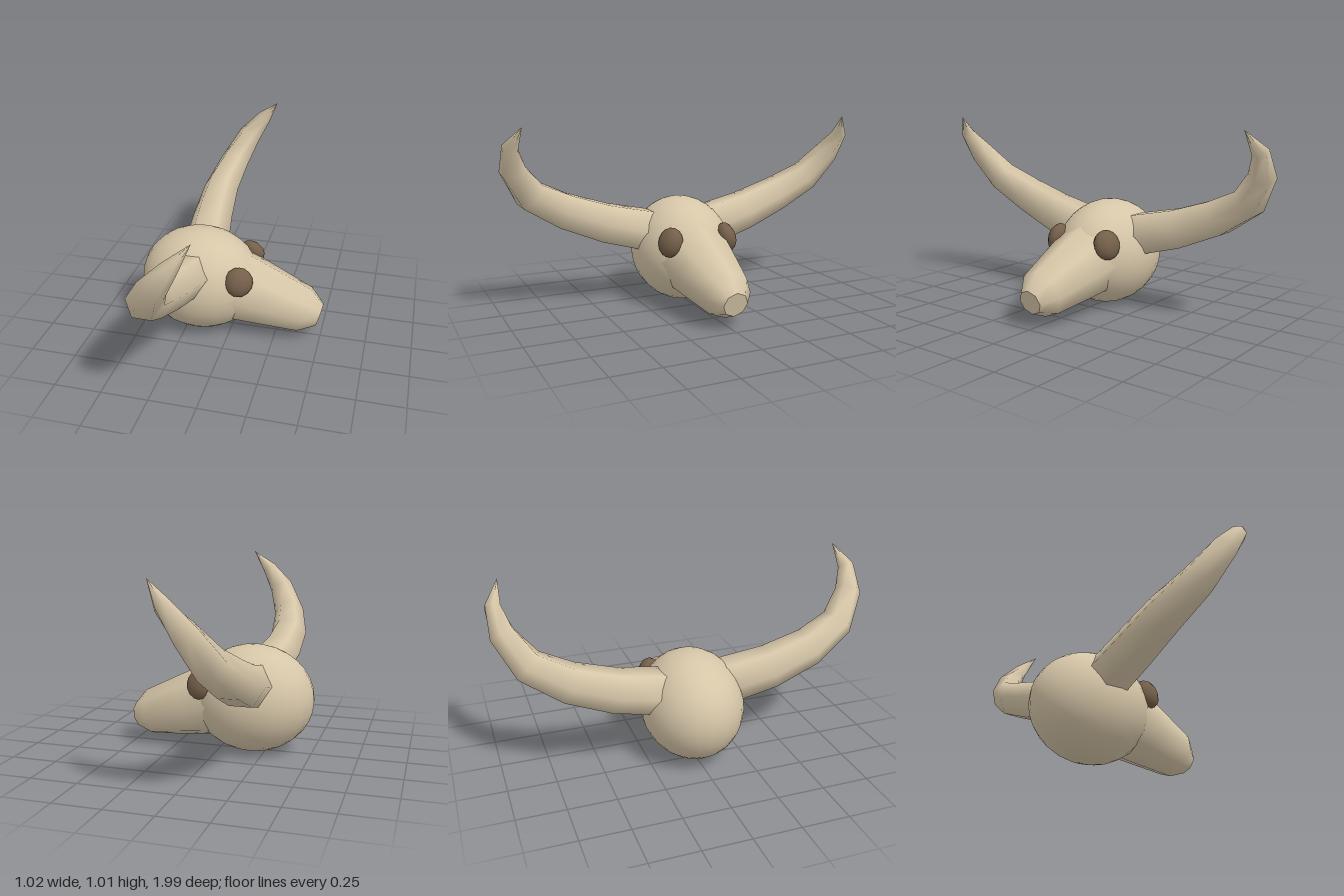
import * as THREE from 'three';

const bone = new THREE.MeshStandardMaterial({ name: 'bone', color: 0xd6c6a8 });
const socketBrown = new THREE.MeshStandardMaterial({ name: 'socketBrown', color: 0x75604a });

// Horn centre line and radius from root to tip: x, y, z, radius
const HORN = [
  [-0.2, 0.39, 0.14, 0.126],
  [-0.205, 0.407, 0.21, 0.125],
  [-0.23, 0.457, 0.425, 0.117],
  [-0.235, 0.54, 0.65, 0.105],
  [-0.197, 0.643, 0.835, 0.089],
  [-0.122, 0.788, 0.935, 0.069],
  [-0.035, 0.905, 0.96, 0.042],
  [0.05, 1.01, 0.917, 0.001],
];

// Six-sided tapering tube along a list of stations; side mirrors it in z
function hornGeometry(side, sides = 6) {
  const centres = HORN.map(([x, y, z]) => new THREE.Vector3(x, y, z * side));
  const positions = [], indices = [];
  centres.forEach((c, i) => {
    const before = centres[Math.max(i - 1, 0)];
    const after = centres[Math.min(i + 1, centres.length - 1)];
    const t = after.clone().sub(before).normalize();
    const u = new THREE.Vector3(1, 0, 0).addScaledVector(t, -t.x).normalize();
    const v = t.clone().cross(u);
    for (let j = 0; j < sides; j++) {
      const a = (j / sides) * Math.PI * 2;
      const p = c.clone()
        .addScaledVector(u, Math.cos(a) * HORN[i][3])
        .addScaledVector(v, Math.sin(a) * HORN[i][3]);
      positions.push(p.x, p.y, p.z);
      if (i === 0) continue;
      const k = (j + 1) % sides, lo = (i - 1) * sides, hi = i * sides;
      indices.push(lo + j, lo + k, hi + k, lo + j, hi + k, hi + j);
    }
  });
  const g = new THREE.BufferGeometry();
  g.setAttribute('position', new THREE.Float32BufferAttribute(positions, 3));
  g.setIndex(indices);
  g.computeVertexNormals();
  return g;
}

export function createModel() {
  const group = new THREE.Group();
  group.name = 'hornedSkull';
  const add = (name, geometry, material) => {
    const mesh = new THREE.Mesh(geometry, material);
    mesh.name = name;
    group.add(mesh);
    return mesh;
  };

  // Egg-shaped braincase
  const cranium = add('cranium', new THREE.SphereGeometry(1, 24, 16), bone);
  cranium.scale.set(0.33, 0.29, 0.27);
  cranium.position.set(-0.18, 0.29, 0);

  // Eight-sided muzzle, tapering forward and down; repeated point keeps the nose rim sharp
  const profile = [[0.217, 0], [0.176, 0.23], [0.13, 0.473], [0.067, 0.56], [0.067, 0.56], [0, 0.56]]
    .map(([r, d]) => new THREE.Vector2(r, d));
  const muzzle = add('muzzle', new THREE.LatheGeometry(profile, 8), bone);
  muzzle.position.set(-0.05, 0.29, 0);
  muzzle.rotation.z = -(Math.PI / 2 + 0.273);

  // Paired horns and eye sockets
  for (const [label, side] of [['left', -1], ['right', 1]].map(([l, s]) => [s > 0 ? 'front' : 'back', s])) {
    add(label + 'Horn', hornGeometry(side), bone);
    const eye = add(label + 'EyeSocket', new THREE.SphereGeometry(1, 10, 8), socketBrown);
    eye.scale.set(0.077, 0.08, 0.052);
    eye.position.set(0.07, 0.382, 0.165 * side);
    eye.rotation.set(-0.3 * side, 0.3 * side, 0);
  }
  return group;
}
